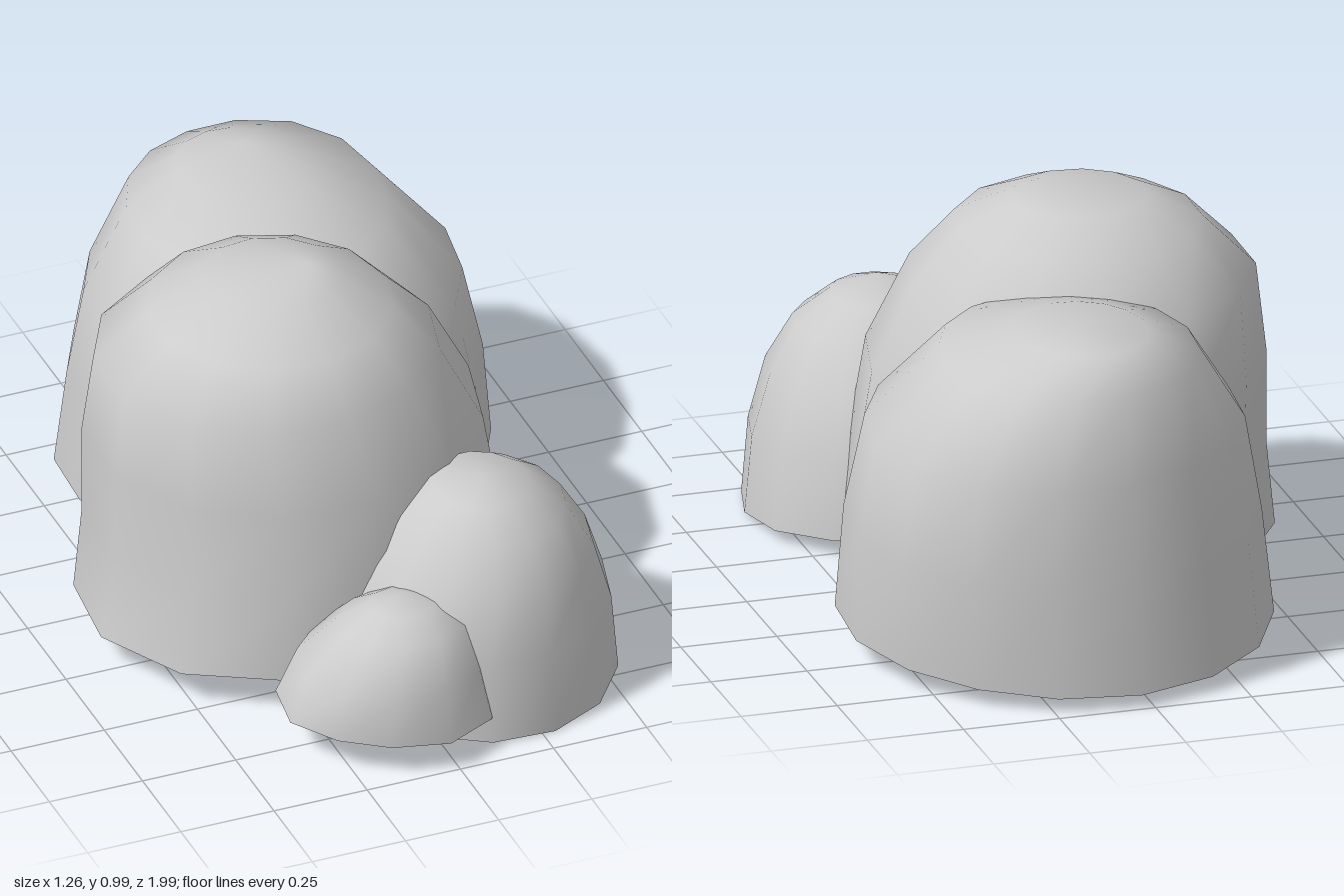
import * as THREE from 'three';

const material = new THREE.MeshStandardMaterial({ color: 0xcccccc, side: THREE.DoubleSide });

// Open-bottomed boulder: oval rings [y, xMin, xMax, zMin, zMax] closed by an apex.
// slope = [dy/dx, dy/dz] tilts the rim and fades out towards the top.
// lobes = [degrees, push per ring] swell or dent the side facing that angle.
function boulder(name, { rings, apex, slope, sides, phase, lobes }) {
  const pos = [], index = [];
  const n = rings.length;
  rings.forEach(([y, x0, x1, z0, z1], r) => {
    const fade = 1 - r / (n - 1);
    for (let i = 0; i < sides; i++) {
      const a = ((i + phase) / sides) * Math.PI * 2;
      let push = 0;
      for (const [deg, amounts] of lobes) {
        push += amounts[r] * Math.max(0, Math.cos(a - THREE.MathUtils.degToRad(deg))) ** 4;
      }
      const dx = Math.cos(a) * ((x1 - x0) / 2 + push), dz = Math.sin(a) * ((z1 - z0) / 2 + push);
      pos.push((x0 + x1) / 2 + dx, y + fade * (slope[0] * dx + slope[1] * dz), (z0 + z1) / 2 + dz);
    }
  });
  pos.push(...apex);
  for (let r = 0; r < n; r++) {
    for (let i = 0; i < sides; i++) {
      const j = (i + 1) % sides, low = r * sides, up = low + sides;
      if (r === n - 1) index.push(low + i, n * sides, low + j);
      else index.push(low + i, up + i, low + j, low + j, up + i, up + j);
    }
  }
  const geo = new THREE.BufferGeometry();
  geo.setAttribute('position', new THREE.Float32BufferAttribute(pos, 3));
  geo.setIndex(index);
  geo.computeVertexNormals();
  const mesh = new THREE.Mesh(geo, material);
  mesh.name = name;
  return mesh;
}

export function createModel() {
  const group = new THREE.Group();
  group.name = 'boulderCluster';

  // Tall boulder in the middle
  group.add(boulder('tallBoulder', {
    rings: [
      [0.088, -0.645, 0.465, -0.46, 0.625],
      [0.30, -0.62, 0.44, -0.45, 0.615],
      [0.54, -0.615, 0.4, -0.43, 0.59],
      [0.76, -0.585, 0.285, -0.33, 0.52],
      [0.885, -0.455, 0.165, -0.21, 0.42],
      [0.955, -0.315, 0.04, -0.08, 0.26],
    ],
    apex: [-0.05, 0.99, 0.13], slope: [0.02, 0.035], sides: 13, phase: 0,
    lobes: [[135, [0.03, 0, 0, 0, 0, 0]], [225, [-0.04, -0.03, -0.02, 0, 0, 0]]],
  }));

  // Wide boulder behind it
  group.add(boulder('backBoulder', {
    rings: [
      [0.075, -0.455, 0.635, -1.0, 0.11],
      [0.34, -0.43, 0.605, -0.955, 0.1],
      [0.58, -0.39, 0.55, -0.905, 0.06],
      [0.78, -0.26, 0.38, -0.845, -0.11],
      [0.845, -0.12, 0.21, -0.73, -0.34],
    ],
    apex: [0.08, 0.88, -0.6], slope: [0, 0.067], sides: 16, phase: -0.27,
    lobes: [[-45, [-0.025, 0.03, 0.05, 0.035, 0]]],
  }));

  // Medium boulder at the front
  group.add(boulder('frontBoulder', {
    rings: [
      [0.035, -0.175, 0.575, 0.165, 0.94],
      [0.23, -0.15, 0.56, 0.195, 0.91],
      [0.38, -0.065, 0.51, 0.265, 0.875],
      [0.49, 0.015, 0.44, 0.36, 0.8],
      [0.555, 0.1, 0.345, 0.45, 0.72],
    ],
    apex: [0.215, 0.59, 0.62], slope: [-0.04, -0.07], sides: 14, phase: 0,
    lobes: [[-45, [0.03, 0.015, 0, 0, 0]]],
  }));

  // Small boulder beside it
  group.add(boulder('smallBoulder', {
    rings: [
      [0.092, -0.375, 0.19, 0.49, 1.01],
      [0.22, -0.32, 0.155, 0.53, 0.97],
      [0.32, -0.215, 0.115, 0.61, 0.9],
      [0.365, -0.14, 0.03, 0.68, 0.83],
    ],
    apex: [-0.07, 0.387, 0.75], slope: [-0.03, -0.03], sides: 11, phase: 0.3,
    lobes: [[125, [-0.04, 0, 0, 0]]],
  }));

  // Stand the lowest rim on the ground
  const box = new THREE.Box3().setFromObject(group);
  group.children.forEach((m) => { m.position.y = -box.min.y; });
  return group;
}
